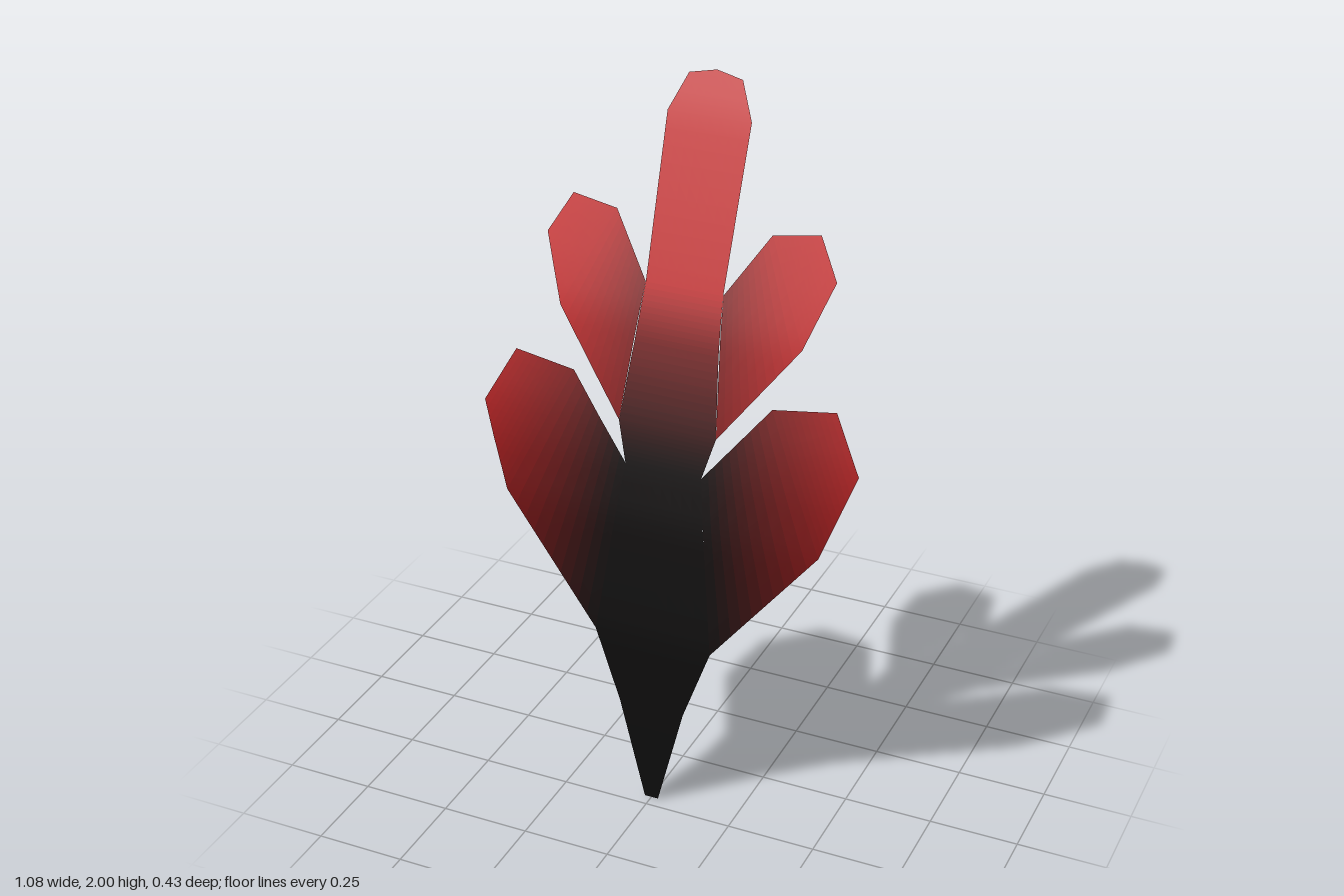
import * as THREE from 'three';

const DARK = new THREE.Color(0x0d0c0c), RED = new THREE.Color(0xc80f12);

// Backward bend of the whole leaf: depth z as a function of height y
const BEND = [[0, 0.215], [0.3, 0.212], [0.51, 0.203], [0.85, 0.157], [1.0, 0.128], [1.11, 0.102],
  [1.24, 0.066], [1.375, 0.026], [1.47, -0.008], [1.65, -0.075], [1.89, -0.165], [2.0, -0.212]];
function bend(y) {
  let i = 0;
  while (i < BEND.length - 2 && y > BEND[i + 1][0]) i++;
  const [y0, z0] = BEND[i], [y1, z1] = BEND[i + 1];
  return z0 + (z1 - z0) * (y - y0) / (y1 - y0);
}

// One bent strip between two edges; each edge is a pair of points [a, b]
function strip(from, to, across = 8) {
  const pos = [], nor = [], idx = [];
  [from, to].forEach(([a, b]) => {
    for (let j = 0; j <= across; j++) {
      const t = j / across;
      const x = a[0] + (b[0] - a[0]) * t, y = a[1] + (b[1] - a[1]) * t;
      const slope = (bend(y + 0.05) - bend(y - 0.05)) / 0.1;
      const len = Math.hypot(1, slope);
      pos.push(x, y, bend(y));
      nor.push(0, -slope / len, 1 / len);
    }
  });
  const n = across + 1;
  for (let j = 0; j < across; j++) idx.push(j, j + n, j + n + 1, j, j + n + 1, j + 1);
  const g = new THREE.BufferGeometry();
  g.setAttribute('position', new THREE.Float32BufferAttribute(pos, 3));
  g.setAttribute('normal', new THREE.Float32BufferAttribute(nor, 3));
  g.setIndex(idx);
  return g;
}

// A leaf part from sections { a, b, tone }, cut into bands that shade from dark to red
function leafPart(name, sections, bands = 10) {
  const group = new THREE.Group();
  group.name = name;
  const mix = (p, q, t) => [p[0] + (q[0] - p[0]) * t, p[1] + (q[1] - p[1]) * t];
  for (let i = 0; i < sections.length - 1; i++) {
    const s = sections[i], e = sections[i + 1];
    const count = s.tone === e.tone ? 4 : bands;
    for (let k = 0; k < count; k++) {
      const edge = (t) => [mix(s.a, e.a, t), mix(s.b, e.b, t)];
      const tone = s.tone + (e.tone - s.tone) * (k + 0.5) / count;
      const material = new THREE.MeshStandardMaterial({
        color: DARK.clone().lerp(RED, tone * tone), side: THREE.DoubleSide });
      const mesh = new THREE.Mesh(strip(edge(k / count), edge((k + 1) / count)), material);
      mesh.name = `${name}Band`;
      group.add(mesh);
    }
  }
  return group;
}

export function createModel() {
  const leaf = new THREE.Group();
  leaf.name = 'leaf';

  // Central blade: half width, height, tone
  const blade = [[0.02, 0, 0], [0.095, 0.3, 0], [0.17, 0.51, 0], [0.11, 1.0, 0.05], [0.14, 1.11, 0.25],
    [0.12, 1.32, 0.55], [0.11, 1.47, 0.97], [0.118, 1.89, 1], [0.075, 1.985, 1], [0, 2, 1]];
  leaf.add(leafPart('centralBlade', blade.map(([w, y, tone]) => ({ a: [w, y], b: [-w, y], tone }))));

  // Side lobes: outer edge, inner edge, tone
  const lobes = {
    LowerLobe: [
      { a: [0.17, 0.51], b: [0.11, 1.0], tone: 0.03 },
      { a: [0.455, 0.855], b: [0.285, 1.215], tone: 0.58 },
      { a: [0.54, 1.09], b: [0.46, 1.24], tone: 0.82 }],
    UpperLobe: [
      { a: [0.14, 1.11], b: [0.11, 1.47], tone: 0.6 },
      { a: [0.345, 1.375], b: [0.22, 1.635], tone: 0.95 },
      { a: [0.41, 1.55], b: [0.35, 1.655], tone: 1 }],
  };
  const flip = ([x, y]) => [-x, y];
  for (const [name, sections] of Object.entries(lobes)) {
    leaf.add(leafPart(`left${name}`, sections));
    leaf.add(leafPart(`right${name}`, sections.map(({ a, b, tone }) => ({ a: flip(b), b: flip(a), tone }))));
  }
  return leaf;
}
